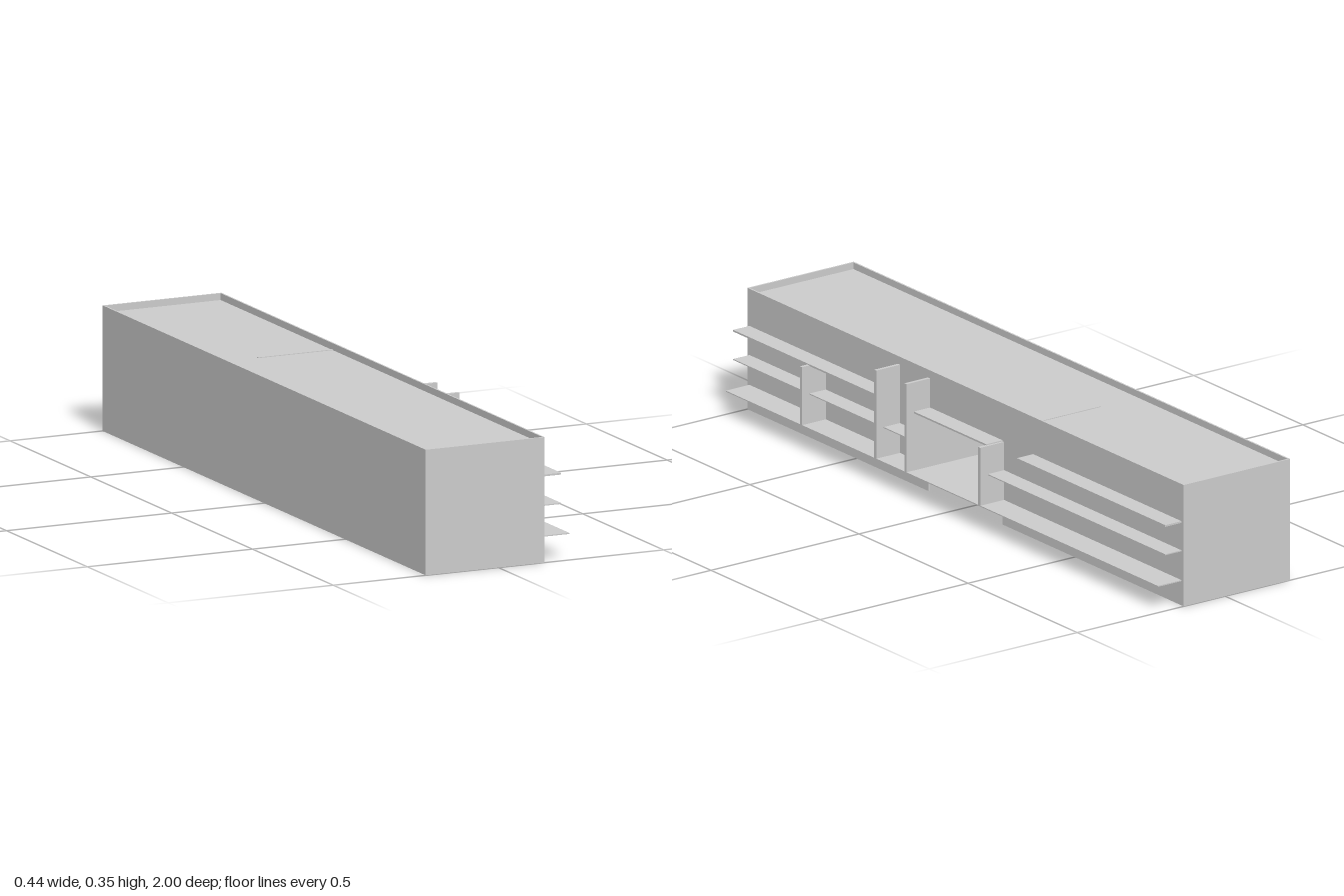
import * as THREE from 'three';

const material = new THREE.MeshStandardMaterial({ color: 0xcccccc, flatShading: true, side: THREE.DoubleSide });

// Box given by its limits along each axis
function slab(group, name, [x0, x1], [y0, y1], [z0, z1]) {
  const mesh = new THREE.Mesh(new THREE.BoxGeometry(x1 - x0, y1 - y0, z1 - z0), material);
  mesh.position.set((x0 + x1) / 2, (y0 + y1) / 2, (z0 + z1) / 2);
  mesh.name = name;
  group.add(mesh);
}

export function createModel() {
  const group = new THREE.Group();
  group.name = 'longShelfUnit';
  const T = 0.005;            // board thickness
  const inner = -0.215;       // boards run through the body from the closed side
  const bay = 0.17;           // half length of the open centre bay

  // Closed long side and the two ends
  slab(group, 'closedSide', [-0.22, -0.215], [0, 0.35], [-1, 1]);
  for (const s of [-1, 1]) {
    const z = [s * 0.995, s].sort((a, b) => a - b);
    slab(group, 'endWall', [-0.22, 0.14], [0, 0.35], z);
    // Shelf side wall on either side of the centre bay
    const run = [s * bay, s * 0.995].sort((a, b) => a - b);
    slab(group, 'shelfSideWall', [0.135, 0.14], [0, 0.35], run);
  }
  slab(group, 'bayLintel', [0.135, 0.14], [0.215, 0.35], [-bay, bay]);

  // Roof sunk below the rim, and the floor that extends out as the lowest shelf
  slab(group, 'roof', [inner, 0.135], [0.327, 0.331], [-0.995, 0.995]);
  slab(group, 'roofStrip', [-0.09, 0.135], [0.331, 0.333], [-0.31, -0.30]);
  slab(group, 'floor', [inner, 0.22], [0.07, 0.073], [-0.99, 0.99]);

  // Upper shelves
  for (const z of [[0.305, 0.99], [-bay, bay], [-0.99, -0.31]]) {
    slab(group, 'upperShelf', [inner, 0.195], [0.238, 0.243], z);
  }
  // Middle shelves
  for (const z of [[bay, 0.99], [-0.99, -bay]]) {
    slab(group, 'middleShelf', [inner, 0.195], [0.156, 0.159], z);
  }

  // Upright dividers: position and top height
  for (const [z, top] of [[0.645, 0.24], [0.305, 0.327], [0.167, 0.327], [-0.172, 0.24]]) {
    slab(group, 'divider', [inner, 0.22], [0.07, top], [z - T, z + T]);
  }
  return group;
}
